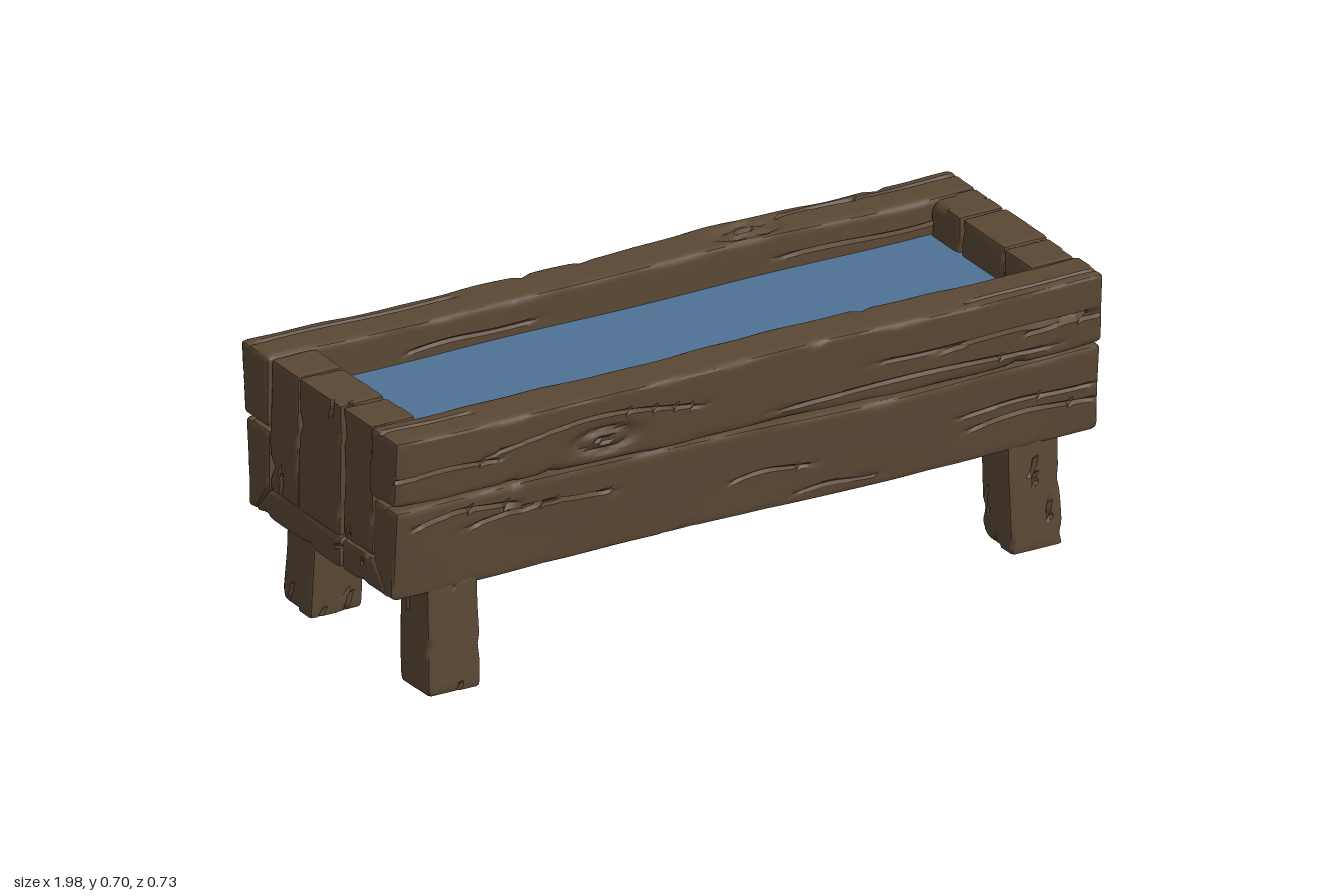
import * as THREE from 'three';
import { mergeVertices, toCreasedNormals } from 'three/addons/utils/BufferGeometryUtils.js';

const wood = new THREE.MeshStandardMaterial({ color: 0x5b4835 });
wood.name = 'dark wood';
const waterBlue = new THREE.MeshStandardMaterial({ color: 0x4e7294 });
waterBlue.name = 'water blue';

function seeded(seed) {
  let s = seed * 7919 + 17;
  return () => {
    s = (s * 16807) % 2147483647;
    return s / 2147483647;
  };
}
const clamp = THREE.MathUtils.clamp;
const lerp = THREE.MathUtils.lerp;

// Hewn plank: a gridded box with worn edges, grain cracks, knots and a slight wobble.
// axis = long axis; crack = [faceAxis, side, u0, u1, v, arch, depth]; knot = [faceAxis, side, u, v]
function plank(name, { size, center, segs, axis, r = 0.013, cracks = [], knots = [], random = 2, wobble = 0.003, shape, seed }) {
  const rnd = seeded(seed);
  const half = size.map((s) => s / 2);
  const step = size.map((s, i) => s / segs[i]);
  const others = [0, 1, 2].filter((i) => i !== axis);
  const all = [...cracks];

  // A few extra cracks along the grain on every long face
  for (const n of others) {
    const v = others.find((i) => i !== n);
    for (const side of [-1, 1]) {
      for (let i = 0; i < random; i++) {
        const len = size[axis] * (0.12 + 0.25 * rnd());
        const u0 = rnd() < 0.5 ? -half[axis] - 0.02 : lerp(-half[axis], half[axis] - len, rnd());
        const u = rnd() < 0.3 ? half[axis] - len + 0.02 : u0;
        all.push([n, side, u, u + len, (rnd() - 0.5) * 1.4 * half[v], (rnd() - 0.5) * 0.016, 0.007 + 0.006 * rnd()]);
      }
    }
  }
  // Chips bitten out of the long edges
  const chips = Array.from({ length: 5 }, () => [(rnd() * 2 - 1) * half[axis], Math.floor(rnd() * 4), 0.01 + 0.01 * rnd()]);

  let geo = new THREE.BoxGeometry(...size, ...segs);
  geo.deleteAttribute('normal');
  geo.deleteAttribute('uv');
  geo.clearGroups();
  geo = mergeVertices(geo, 1e-4);
  const pos = geo.attributes.position;

  for (let i = 0; i < pos.count; i++) {
    const o = [pos.getX(i), pos.getY(i), pos.getZ(i)];
    const p = [...o];
    const u = o[axis];

    // Worn, uneven edges
    const edge = (o[others[0]] > 0 ? 1 : 0) + (o[others[1]] > 0 ? 2 : 0);
    let rad = r * (1 + 0.25 * Math.sin(u * 11 + edge * 2.1 + seed) + 0.2 * Math.sin(u * 29 + edge * 4 + seed));
    for (const [cu, ce, cr] of chips) if (ce === edge) rad += cr * Math.max(0, 1 - Math.abs(u - cu) / 0.03);
    const inner = o.map((c, k) => clamp(c, -half[k] + rad, half[k] - rad));
    const d = o.map((c, k) => c - inner[k]);
    const len = Math.hypot(...d) || 1;
    for (let k = 0; k < 3; k++) p[k] = inner[k] + (d[k] / len) * Math.min(rad, len);

    // Cracks: the nearest grid row drops into a V, its neighbours close in on it
    for (const [n, side, u0, u1, cv, arch, depth] of all) {
      if (Math.abs(o[n] - side * half[n]) > 1e-4 || u < u0 || u > u1) continue;
      const v = others.find((k) => k !== n);
      if (Math.abs(o[v]) > half[v] - step[v] * 0.9) continue;
      const t = (u - u0) / (u1 - u0);
      const line = cv + arch * Math.sin(Math.PI * t) + 0.003 * Math.sin(t * 9 + seed);
      const taper = Math.min(1, 2.2 * Math.sin(Math.PI * clamp(t, 0.04, 0.96)));
      const dv = o[v] - line;
      if (Math.abs(dv) < step[v] / 2) {
        p[v] = lerp(p[v], line, taper);
        p[n] -= side * depth * taper;
      } else if (Math.abs(dv) < step[v] * 1.5) {
        p[v] = lerp(p[v], line + Math.sign(dv) * 0.006, taper * 0.8);
      }
    }
    // Knots: an oval ring groove round a small pit
    for (const [n, side, ku, kv] of knots) {
      if (Math.abs(o[n] - side * half[n]) > 1e-4) continue;
      const v = others.find((k) => k !== n);
      const e = Math.hypot((u - ku) / 0.075, (o[v] - kv) / 0.028);
      p[n] -= side * (0.011 * Math.exp(-(((e - 1) / 0.3) ** 2)) + (e < 0.3 ? 0.008 : 0));
    }
    // Gentle hand-cut wobble
    const q = p.map((c, k) => c + center[k]);
    for (let k = 0; k < 3; k++) {
      q[k] += wobble * Math.sin(o[axis] * 5 + seed * 1.7 + k * 2 + 4 * o[(k + 1) % 3]) * (k === axis ? 0.5 : 1);
    }
    pos.setXYZ(i, ...(shape ? shape(...q) : q));
  }
  const mesh = new THREE.Mesh(toCreasedNormals(geo, 0.5), wood);
  mesh.name = name;
  return mesh;
}

// Wavy joint shared by the upper and lower side beams
const joint = (x, y) => y + 0.008 * Math.sin(2.6 * x + 3.6) * Math.max(0, 1 - Math.abs(y - 0.507) / 0.17);

// Upper beam leans outwards; lower beam is also mitred at its inner bottom edge
const upperShape = (x, y, z) => [x, joint(x, y), lerp(0.235, 0.348 + (y - 0.51) * 0.075, (z - 0.235) / 0.12)];
const lowerShape = (x, y, z) => {
  const inner = lerp(0.237, 0.305, clamp((0.355 - y) / 0.08, 0, 1));
  return [x, joint(x, y), lerp(inner, 0.33 + (y - 0.275) * 0.09, (z - 0.235) / 0.12)];
};

// One long wall, modelled at the front
function sideWall(name, seed, upper, lower) {
  const wall = new THREE.Group();
  wall.name = name;
  wall.add(
    plank('upperBeam', {
      size: [1.98, 0.184, 0.12], center: [0, 0.603, 0.295], segs: [135, 20, 11], axis: 0, random: 2, shape: upperShape, seed, ...upper,
    }),
    plank('lowerBeam', {
      size: [1.97, 0.23, 0.12], center: [0, 0.391, 0.295], segs: [135, 22, 10], axis: 0, random: 2, shape: lowerShape, seed: seed + 1, ...lower,
    })
  );
  return wall;
}

// End wall at +x: three upright boards over two mitred base boards
function endWall(name, seed) {
  const wall = new THREE.Group();
  wall.name = name;
  [[0.107, 0.236, 0.92], [-0.093, 0.103, 0.923], [-0.232, -0.097, 0.919]].forEach(([z0, z1, x], i) => {
    wall.add(plank('uprightBoard', {
      size: [0.125, 0.342, z1 - z0], center: [x, 0.523, (z0 + z1) / 2], segs: [8, 26, 14], axis: 1, r: 0.009,
      random: 1, wobble: 0.002, seed: seed + i,
    }));
  });
  // Slanted outer ends meet the mitre of the lower beams
  const mitre = (x, y, z) => {
    const slope = 0.075 * clamp((y - 0.272) / 0.083, 0, 1);
    return [x, y, z - Math.sign(z) * slope * clamp((Math.abs(z) - 0.14) / 0.17, 0, 1)];
  };
  [[-0.092, 0.312], [-0.318, -0.1]].forEach(([z0, z1], i) => {
    wall.add(plank('baseBoard', {
      size: [0.13, 0.083, z1 - z0], center: [0.922, 0.313, (z0 + z1) / 2], segs: [8, 8, 24], axis: 2, r: 0.011,
      random: 1, wobble: 0.002, shape: mitre, seed: seed + 5 + i,
    }));
  });
  return wall;
}

export function createModel() {
  const model = new THREE.Group();
  model.name = 'wateringTrough';

  // Long walls
  const front = sideWall('frontWall', 3,
    {
      knots: [[2, 1, -0.4, -0.03]],
      cracks: [[2, 1, -1.02, -0.68, -0.012, 0, 0.012], [2, 1, -0.75, -0.1, -0.002, 0.036, 0.011],
        [2, 1, 0.5, 1.02, -0.005, 0.006, 0.013], [2, 1, 0.05, 0.9, -0.066, 0.012, 0.01]],
    },
    {
      cracks: [[2, 1, -0.95, -0.62, 0.065, 0.012, 0.014], [2, 1, -0.8, -0.35, 0.035, 0.01, 0.012],
        [2, 1, -0.06, 0.2, -0.018, 0.008, 0.011], [2, 1, 0.6, 1, -0.03, 0.01, 0.013], [2, 1, 0.1, 0.4, -0.09, 0.008, 0.01]],
    });
  const back = sideWall('backWall', 8,
    {
      knots: [[1, 1, -0.38, -0.005]],
      cracks: [[2, 1, 0.5, 1.02, 0.01, 0.01, 0.012], [2, 1, -0.9, -0.3, -0.03, 0.012, 0.01], [1, 1, -0.85, -0.45, 0.02, 0.01, 0.01]],
    },
    {
      knots: [[2, 1, 0.47, -0.005]],
      cracks: [[2, 1, 0.15, 0.8, 0.035, 0.03, 0.011], [2, 1, 0.5, 1, -0.045, 0.01, 0.013], [2, 1, -1, -0.5, 0.02, 0.01, 0.01]],
    });
  back.rotation.y = Math.PI;
  model.add(front, back);

  // Short walls
  const left = endWall('leftEnd', 20);
  const right = endWall('rightEnd', 31);
  right.rotation.y = Math.PI;
  model.add(left, right);

  // Floor and water
  const floor = new THREE.Mesh(new THREE.BoxGeometry(1.74, 0.03, 0.63), wood);
  floor.name = 'floor';
  floor.position.y = 0.29;
  const water = new THREE.Mesh(new THREE.PlaneGeometry(1.74, 0.49).rotateX(-Math.PI / 2), waterBlue);
  water.name = 'water';
  water.position.y = 0.6;
  model.add(floor, water);

  // Four stubby legs, splayed a little outwards
  [[-1, 1], [1, 1], [-1, -1], [1, -1]].forEach(([sx, sz], i) => {
    model.add(plank('leg', {
      size: [0.146, 0.3, 0.136], center: [sx * 0.812, 0.15, sz * 0.265], segs: [12, 22, 12], axis: 1, r: 0.012,
      random: 2, wobble: 0.002, seed: 50 + i,
      shape: (x, y, z) => [x + sx * 0.02 * (0.15 - y), Math.max(0, y), z + sz * 0.04 * (0.15 - y)],
    }));
  });
  return model;
}
